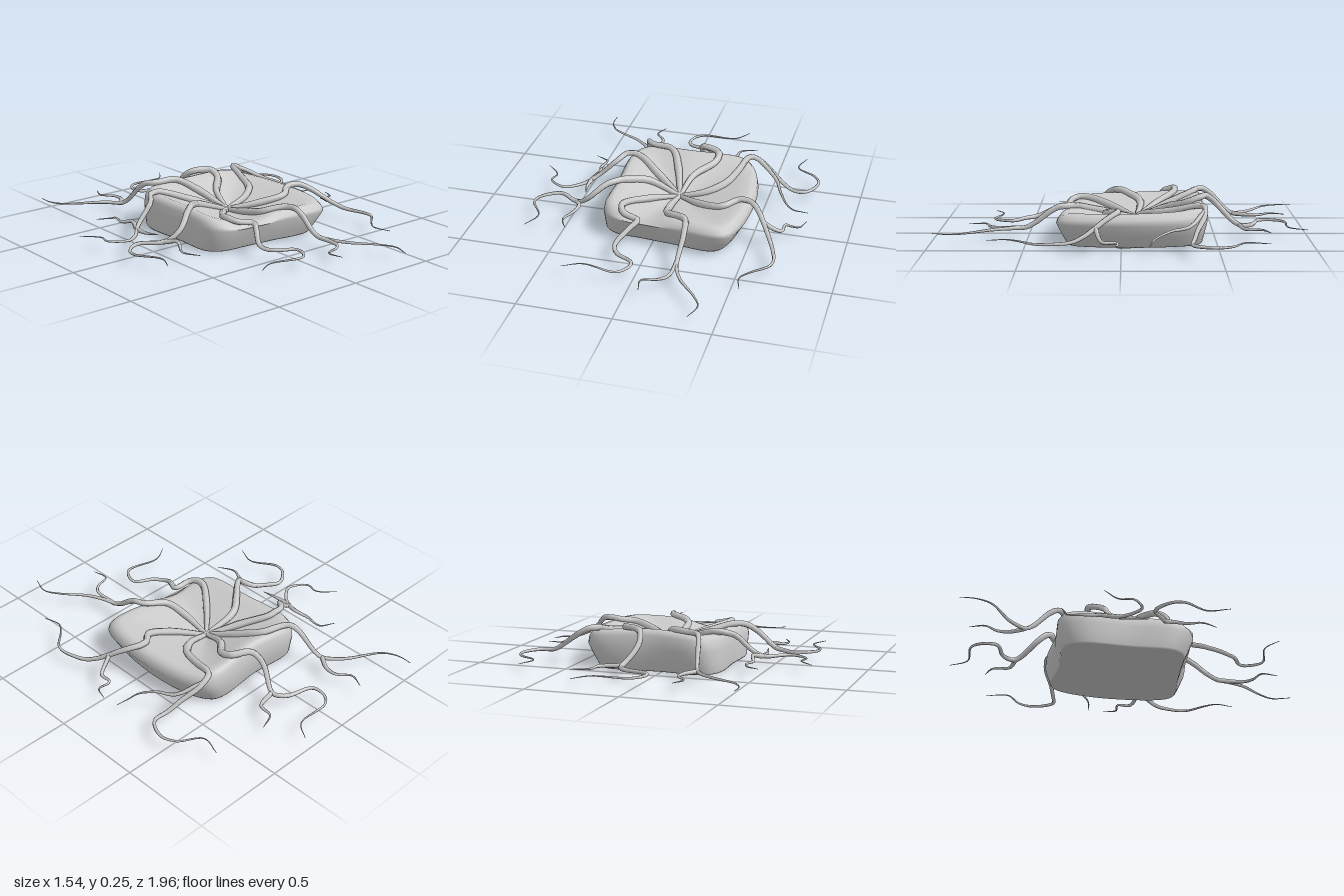
import * as THREE from 'three';

const HUB = { x: 0.06, y: 0.09, z: -0.08 };
const GROUND = 0.066;
const V = (x, y, z) => new THREE.Vector3(x, y, z);

// Rock outline seen from above: x, rim height, z
const outline = new THREE.CatmullRomCurve3([
  [-0.29, 0.2, -0.35], [-0.23, 0.205, -0.435], [0.05, 0.22, -0.43], [0.36, 0.205, -0.44],
  [0.425, 0.19, -0.37], [0.48, 0.18, -0.1], [0.445, 0.175, 0.26], [0.39, 0.17, 0.33],
  [0.12, 0.165, 0.31], [-0.05, 0.135, 0.295], [-0.22, 0.165, 0.275], [-0.285, 0.18, 0.21],
  [-0.29, 0.19, -0.05],
].map(p => V(...p)), true);
const edge = outline.getSpacedPoints(400).map(p => ({
  p, angle: Math.atan2(p.z - HUB.z, p.x - HUB.x), dist: Math.hypot(p.x - HUB.x, p.z - HUB.z),
}));

// Dished top: rises from the hub to the rim
const topHeight = (s, rim) => HUB.y + (rim - HUB.y) * Math.min(1, s / 0.87);

// Height of a root: follows the dished top, drapes over the rim, then lies flat
function rootHeight(x, z) {
  const angle = Math.atan2(z - HUB.z, x - HUB.x);
  const d = Math.hypot(x - HUB.x, z - HUB.z);
  let best = edge[0], gap = Infinity;
  for (const e of edge) {
    const g = 1 - Math.cos(e.angle - angle);
    if (g < gap) { gap = g; best = e; }
  }
  const y = topHeight(d / best.dist, best.p.y) + 0.012;
  const fall = THREE.MathUtils.smoothstep(d - best.dist, -0.01, 0.22);
  return THREE.MathUtils.lerp(y, GROUND, fall);
}

// Rock lofted through closed rings from the hub, over the rim, to the flat base
function makeRock(material) {
  const n = 96, pos = [], index = [];
  const ringPts = outline.getSpacedPoints(n).slice(0, n);
  const scaled = (p, s, y) => [HUB.x + (p.x - HUB.x) * s, y, HUB.z + (p.z - HUB.z) * s];
  const base = (p, s, y, k) => {
    const x = -0.29 + (p.x + 0.29) * (1 - 0.08 * k), z = p.z * (1 - 0.1 * k) - 0.02 * k;
    return scaled({ x, z }, s, y);
  };
  const rings = [
    ...[0.001, 0.2, 0.4, 0.6, 0.75, 0.87].map(s => p => scaled(p, s, topHeight(s, p.y))),
    p => scaled(p, 0.94, p.y - 0.006),
    p => scaled(p, 0.985, p.y - 0.03),
    p => scaled(p, 1, 0.12),
    p => base(p, 1, 0.06, 0.5),
    p => base(p, 1, 0.01, 0.95),
    p => base(p, 0.985, 0, 1),
    p => base(p, 0.5, 0, 1),
    p => base(p, 0.001, 0, 1),
  ];
  rings.forEach((ring, r) => ringPts.forEach((p, i) => {
    pos.push(...ring(p));
    if (r === 0) return;
    const j = (i + 1) % n, a = (r - 1) * n + i, b = (r - 1) * n + j, c = r * n + i, d = r * n + j;
    index.push(a, b, c, b, d, c);
  }));
  const geo = new THREE.BufferGeometry();
  geo.setAttribute('position', new THREE.Float32BufferAttribute(pos, 3));
  geo.setIndex(index);
  geo.computeVertexNormals();
  const mesh = new THREE.Mesh(geo, material);
  mesh.name = 'rock';
  return mesh;
}

// Tapered tube along a plan path of x, z pairs
function makeRoot(path, r0, r1, material, name) {
  const plan = new THREE.CatmullRomCurve3(path.map(([x, z]) => V(x, 0, z)));
  const pts = plan.getSpacedPoints(60).map(p => V(p.x, rootHeight(p.x, p.z), p.z));
  const curve = new THREE.CatmullRomCurve3(pts);
  const segs = 80, sides = 6;
  const geo = new THREE.TubeGeometry(curve, segs, 1, sides, false);
  const pos = geo.attributes.position, v = V(0, 0, 0);
  for (let i = 0; i <= segs; i++) {
    const t = i / segs, c = curve.getPointAt(t);
    const r = t < 0.15 ? THREE.MathUtils.lerp(r0, r1, t / 0.15)
      : THREE.MathUtils.lerp(r1, 0.0015, (t - 0.15) / 0.85);
    for (let j = 0; j <= sides; j++) {
      const k = i * (sides + 1) + j;
      v.fromBufferAttribute(pos, k).sub(c).multiplyScalar(r).add(c);
      pos.setXYZ(k, v.x, v.y, v.z);
    }
  }
  const mesh = new THREE.Mesh(geo, material);
  mesh.name = name;
  return mesh;
}

// Each root: main path from the hub, then its side branches
const H = [HUB.x, HUB.z];
const ROOTS = {
  backLeftRoot: [
    [H, [0, -0.27], [-0.06, -0.38], [-0.2, -0.43], [-0.27, -0.62], [-0.35, -0.71], [-0.53, -0.82], [-0.57, -0.9], [-0.57, -0.98]],
    [[-0.27, -0.62], [-0.22, -0.7], [-0.22, -0.76], [-0.27, -0.83], [-0.24, -0.91]]],
  backRoot: [
    [H, [0.1, -0.22], [0.2, -0.34], [0.2, -0.4], [0.1, -0.46], [0.08, -0.52], [0.13, -0.64], [0.09, -0.7],
      [-0.05, -0.75], [-0.05, -0.83], [0, -0.88], [0.19, -0.89], [0.26, -0.98]],
    [[0.13, -0.63], [0.24, -0.66], [0.26, -0.74], [0.35, -0.78]]],
  backRightRoot: [
    [H, [0.2, -0.1], [0.29, -0.17], [0.34, -0.3], [0.38, -0.42], [0.45, -0.43], [0.57, -0.38], [0.7, -0.36],
      [0.76, -0.47], [0.73, -0.55], [0.62, -0.63], [0.65, -0.75]],
    [[0.43, -0.43], [0.54, -0.35], [0.59, -0.24], [0.65, -0.16], [0.76, -0.14]]],
  rightRoot: [
    [H, [0.2, 0.03], [0.33, 0.08], [0.41, 0.02], [0.48, 0.03], [0.57, 0.13], [0.65, 0.28], [0.67, 0.42],
      [0.58, 0.52], [0.54, 0.58], [0.56, 0.68]],
    [[0.57, 0.13], [0.66, 0.09], [0.67, 0.02], [0.74, 0.02], [0.77, -0.05]]],
  frontRoot: [
    [H, [0.05, 0.1], [0.07, 0.21], [0.18, 0.28], [0.2, 0.37], [0.2, 0.52], [0.25, 0.66], [0.36, 0.8], [0.4, 0.88], [0.37, 0.98]],
    [[0.2, 0.5], [0.19, 0.66], [0.15, 0.7], [0.07, 0.73], [0.08, 0.82]]],
  frontLeftRoot: [
    [H, [-0.07, 0.05], [-0.18, 0.2], [-0.16, 0.27], [-0.07, 0.3], [-0.1, 0.36], [-0.15, 0.45], [-0.12, 0.52],
      [-0.02, 0.59], [-0.07, 0.69], [-0.26, 0.66], [-0.36, 0.71]]],
  leftRoot: [
    [H, [-0.12, -0.1], [-0.22, -0.03], [-0.3, 0.04], [-0.4, 0.1], [-0.5, 0.06], [-0.6, 0], [-0.7, 0.07],
      [-0.71, 0.13], [-0.64, 0.26], [-0.68, 0.37]],
    [[-0.49, 0.06], [-0.45, 0.14], [-0.5, 0.26], [-0.46, 0.35]]],
  leftBackRoot: [
    [H, [-0.1, -0.2], [-0.22, -0.29], [-0.3, -0.29], [-0.35, -0.23], [-0.45, -0.2], [-0.55, -0.1], [-0.61, -0.07],
      [-0.7, -0.13], [-0.69, -0.2], [-0.77, -0.29]],
    [[-0.48, -0.18], [-0.45, -0.26], [-0.47, -0.33], [-0.46, -0.42], [-0.54, -0.47]],
    [[-0.48, -0.17], [-0.48, -0.1], [-0.46, -0.01]]],
};

export function createModel() {
  const model = new THREE.Group();
  model.name = 'rootedRock';
  const material = new THREE.MeshStandardMaterial({ color: 0xcccccc });
  model.add(makeRock(material));
  for (const [name, [main, ...branches]] of Object.entries(ROOTS)) {
    // the model's own left is +x, so plan names are swapped
    const own = name.replace(/left|right/i, s => ({ left: 'right', right: 'left', Left: 'Right', Right: 'Left' })[s]);
    const root = new THREE.Group();
    root.name = own;
    root.add(makeRoot(main, 0.012, 0.022, material, own + 'Stem'));
    branches.forEach((b, i) => root.add(makeRoot(b, 0.013, 0.012, material, own + 'Branch' + (i + 1))));
    model.add(root);
  }
  return model;
}
